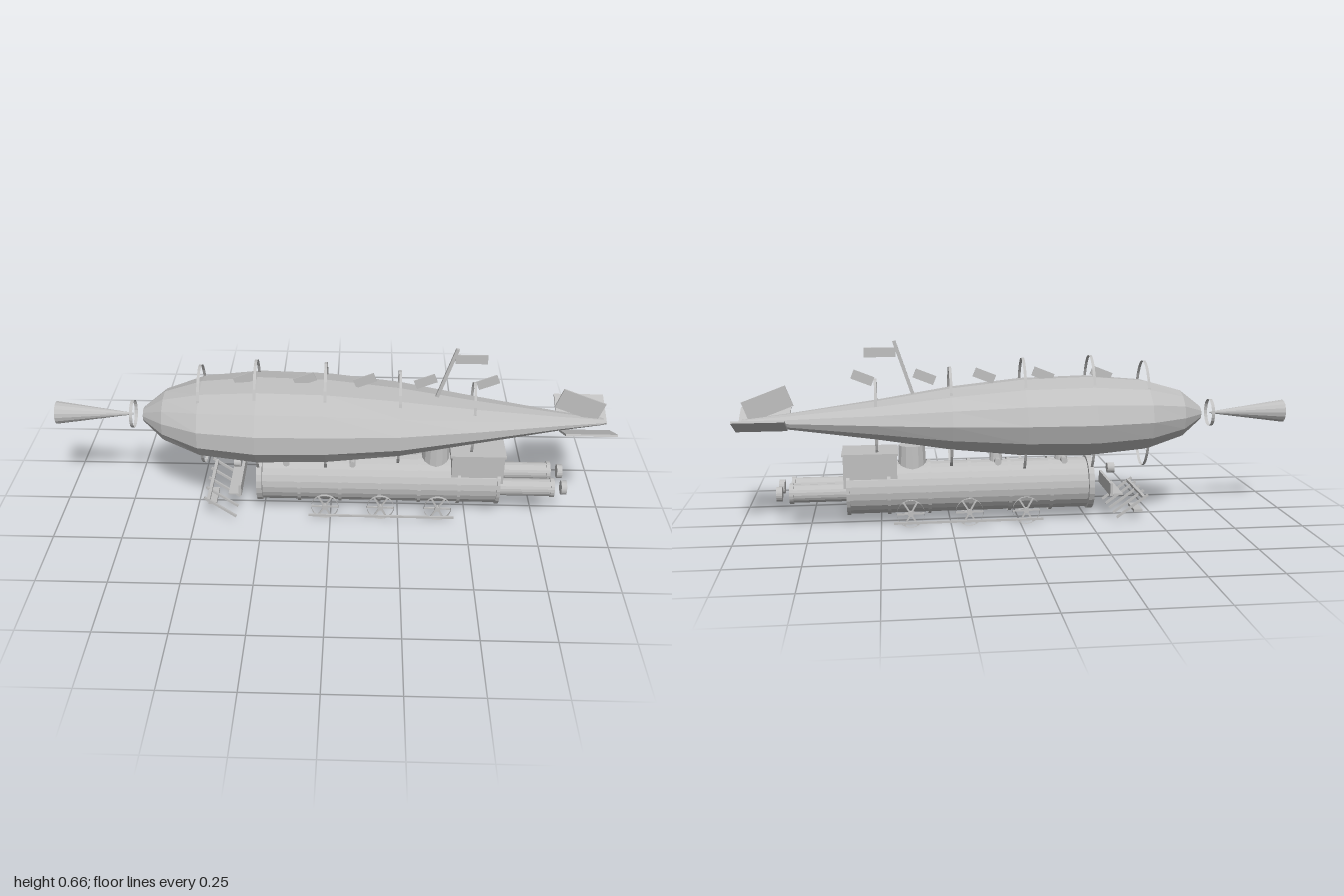
import * as THREE from 'three';

const grey = new THREE.MeshStandardMaterial({ color: 0xbfbfbf, flatShading: true, side: THREE.DoubleSide });
grey.name = 'plain grey';

export function createModel() {
  const root = new THREE.Group();
  const add = (name, geo, x = 0, y = 0, z = 0) => {
    const m = new THREE.Mesh(geo, grey);
    m.name = name;
    m.position.set(x, y, z);
    root.add(m);
    return m;
  };
  const box = (name, w, h, d, x, y, z, tilt = 0) => {
    const m = add(name, new THREE.BoxGeometry(w, h, d), x, y, z);
    m.rotation.z = tilt;
    return m;
  };
  // Cylinder lying along x, r0 at the -x end and r1 at the +x end
  const tubeX = (name, r0, r1, len, x, y, z, sides = 24, open = false) =>
    add(name, new THREE.CylinderGeometry(r0, r1, len, sides, 1, open).rotateZ(Math.PI / 2), x, y, z);

  // Gas bag: stations of [x, half height, half width] with 13 sides
  const AXIS = 0.378;
  const stations = [
    [-0.68, 0.025, 0.03], [-0.6, 0.088, 0.11], [-0.465, 0.128, 0.185],
    [-0.26, 0.146, 0.216], [-0.015, 0.14, 0.21], [0.245, 0.112, 0.185],
    [0.51, 0.07, 0.125], [0.82, 0.028, 0.05], [0.98, 0.01, 0.017],
  ];
  const n = stations.length - 1;
  const bag = new THREE.CylinderGeometry(1, 1, n, 13, n).rotateY(Math.PI).rotateZ(Math.PI / 2);
  const p = bag.attributes.position;
  for (let i = 0; i < p.count; i++) {
    const [x, h, w] = stations[Math.round(p.getX(i) + n / 2)];
    p.setXYZ(i, x, p.getY(i) * h, p.getZ(i) * w);
  }
  bag.computeVertexNormals();
  add('gasBag', bag, 0, AXIS, 0);

  // Thin oval hoops around the bag: x, half height, half width
  for (const [x, h, w] of [[-0.465, 0.195, 0.115], [-0.265, 0.218, 0.125], [-0.018, 0.212, 0.122],
    [0.245, 0.185, 0.105], [0.51, 0.145, 0.075]]) {
    tubeX('bagHoop', 1, 1, 0.01, x, AXIS + 0.003, 0, 32, true).scale.set(1, h, w);
  }

  // Nose ring and cone
  tubeX('noseRing', 0.05, 0.05, 0.012, -0.72, AXIS, 0, 24, true);
  tubeX('noseCone', 0.042, 0.003, 0.28, -0.86, AXIS, 0, 16);

  // Pennants, mast and mast flag on the crest
  for (const x of [-0.307, -0.093, 0.12, 0.335, 0.555]) {
    box('pennant', 0.078, 0.034, 0.004, x, 0.53, 0, 0.38);
  }
  box('mast', 0.2, 0.012, 0.011, 0.41, 0.565, 0, 1.25);
  box('mastFlag', 0.113, 0.034, 0.004, 0.492, 0.62, 0);

  // Tail fins
  box('tailFin', 0.165, 0.078, 0.006, 0.89, 0.442, 0, -0.36);
  for (const s of [-1, 1]) {
    const fin = box('sideFin', 0.18, 0.008, 0.13, 0.91, 0.379, s * 0.085);
    fin.rotation.x = -s * 0.42;
  }

  // Boiler with front rim and thin straps
  const BY = 0.128;
  tubeX('boiler', 0.092, 0.092, 0.87, 0.185, BY, 0);
  tubeX('boilerRim', 0.098, 0.098, 0.02, -0.262, BY, 0);
  for (const x of [-0.115, 0.035, 0.18, 0.325, 0.47]) {
    tubeX('boilerStrap', 0.098, 0.098, 0.012, x, BY, 0, 24, true);
  }
  tubeX('rearRim', 0.097, 0.097, 0.012, 0.614, BY, 0);
  for (const x of [-0.16, 0.08]) {
    add('boilerDome', new THREE.CylinderGeometry(0.02, 0.026, 0.05, 12), x, 0.228, 0);
    for (const s of [-1, 1]) {
      add('sideValve', new THREE.CylinderGeometry(0.012, 0.012, 0.03, 10).rotateX(Math.PI / 2), x, 0.229, s * 0.072);
    }
  }
  add('steamDome', new THREE.CylinderGeometry(0.048, 0.052, 0.085, 14), 0.385, 0.242, 0);

  // Cab
  box('cab', 0.19, 0.12, 0.156, 0.535, 0.205, 0);
  box('cabRoof', 0.2, 0.007, 0.164, 0.535, 0.265, 0);

  // Twin rear pipes with flanges and loose end caps
  for (const z of [0.058, -0.052]) {
    tubeX('rearPipe', 0.032, 0.032, 0.2, 0.71, 0.127, z, 20);
    tubeX('pipeFlange', 0.036, 0.036, 0.014, 0.812, 0.127, z, 20);
    tubeX('pipeCap', 0.026, 0.026, 0.02, 0.855, 0.127, z, 20);
  }

  // Spoked wheels and coupling rods
  for (const s of [-1, 1]) {
    for (const x of [-0.02, 0.185, 0.395]) {
      add('wheelRim', new THREE.CylinderGeometry(0.05, 0.05, 0.01, 20, 1, true).rotateX(Math.PI / 2), x, 0.052, s * 0.099);
      add('wheelHub', new THREE.CylinderGeometry(0.01, 0.01, 0.016, 10).rotateX(Math.PI / 2), x, 0.052, s * 0.099);
      for (let k = 0; k < 3; k++) {
        box('wheelSpoke', 0.098, 0.006, 0.005, x, 0.052, s * 0.099, Math.PI / 6 + k * Math.PI / 3 + 0.5);
      }
    }
    box('couplingRod', 0.535, 0.008, 0.006, 0.188, 0.023, s * 0.115);
  }

  // Front shelf, buffer plate and lamp
  box('frontShelf', 0.045, 0.006, 0.2, -0.352, 0.1, 0);
  box('bufferPlate', 0.01, 0.046, 0.214, -0.331, 0.12, 0);
  tubeX('frontLamp', 0.019, 0.019, 0.026, -0.347, 0.178, 0, 16);

  // Sloped guard: cross bar with slats, and a loose step ahead of it
  box('guardBar', 0.012, 0.01, 0.272, -0.445, 0.095, 0);
  for (let i = -2; i <= 2; i++) {
    box('guardSlat', 0.14, 0.008, 0.008, -0.403, 0.064, i * 0.066, -0.62);
  }
  box('frontStep', 0.032, 0.01, 0.1, -0.445, 0.022, 0);

  return root;
}
